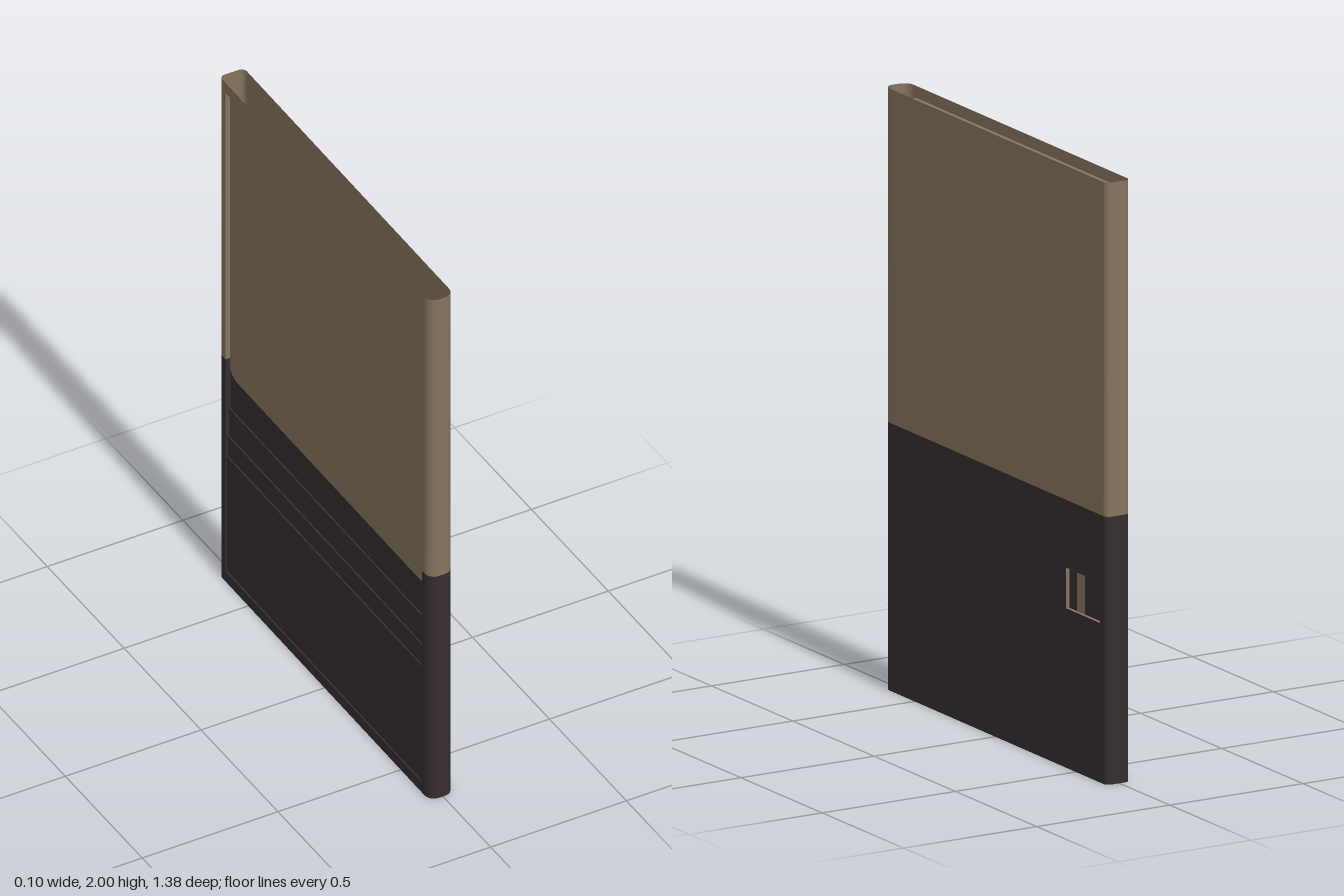
import * as THREE from 'three';

const side = THREE.DoubleSide; // thin open shell
const tan = new THREE.MeshStandardMaterial({ name: 'tan', color: 0x86755f, side });
const dark = new THREE.MeshStandardMaterial({ name: 'darkBrown', color: 0x362d2f, side });

const H = 2, SPLIT = 0.89, X = 0.045, Z = 0.69, FLOOR = -0.027;

export function createModel() {
  const group = new THREE.Group();
  const add = (name, geometry, material) => {
    const m = new THREE.Mesh(geometry, material);
    m.name = name;
    group.add(m);
    return m;
  };

  // Surface between two matching rows of points
  const loft = (a, b, smooth) => {
    const n = a.length, index = [];
    for (let i = 0; i < n - 1; i++) index.push(i, i + 1, n + i + 1, i, n + i + 1, n + i);
    let g = new THREE.BufferGeometry();
    g.setAttribute('position', new THREE.Float32BufferAttribute([...a, ...b].flat(), 3));
    g.setIndex(index);
    if (!smooth) g = g.toNonIndexed();
    g.computeVertexNormals();
    return g;
  };
  const poly = (pts) => new THREE.Shape(pts.map(([u, v]) => new THREE.Vector2(u, v)));
  const rect = (u0, v0, u1, v1) => poly([[u0, v0], [u1, v0], [u1, v1], [u0, v1]]);
  // Flat panels facing +x (u = -z) and -x (u = z)
  const rightPanel = (shape, x) => new THREE.ShapeGeometry(shape).rotateY(Math.PI / 2).translate(x, 0, 0);
  const leftPanel = (shape, x) => new THREE.ShapeGeometry(shape).rotateY(-Math.PI / 2).translate(x, 0, 0);
  const arc = (cx, cz, r, from) => Array.from({ length: 9 }, (_, i) => {
    const t = from - (i / 8) * Math.PI / 2;
    return [cx + r * Math.cos(t), cz + r * Math.sin(t)];
  });

  // Rounded ends as [x, z] outlines
  const rf = 0.034, rb = 0.02;
  const front = [[-X, 0.64], ...arc(-X + rf, Z - rf, rf, Math.PI), ...arc(X - rf, Z - rf, rf, Math.PI / 2), [X, 0.64]];
  const back = [[X, -0.65], ...arc(X - rb, -Z + rb, rb, 0), ...arc(-X + rb, -Z + rb, rb, -Math.PI / 2), [-X, -0.65]];
  for (const [name, row] of [['frontEnd', front], ['backEnd', back]]) {
    const at = (y) => row.map(([x, z]) => [x, y, z]);
    add(name + 'Lower', loft(at(0), at(SPLIT), true), dark);
    add(name + 'Upper', loft(at(SPLIT), at(H), true), tan);
  }

  // Bottom, in two colours, with the top left open
  const base = (pts) => new THREE.ShapeGeometry(poly(pts)).rotateX(Math.PI / 2);
  add('bottomFront', base([...front, [X, -0.045], [-X, -0.045]]), dark);
  add('bottomBack', base([...back, [-X, -0.045], [X, -0.045]]), tan);

  // Right face with a small window
  const w = { u0: 0.44, u1: 0.65, v0: 0.53, v1: 0.665, x: 0.033 };
  const lower = rect(-0.64, 0, 0.65, SPLIT);
  lower.holes.push(rect(w.u0, w.v0, w.u1, w.v1));
  add('rightFaceLower', rightPanel(lower, X), dark);
  add('rightFaceUpper', rightPanel(rect(-0.64, SPLIT, 0.65, H), X), tan);
  const ring = (x) => [[w.u0, w.v0], [w.u0, w.v1], [w.u1, w.v1], [w.u1, w.v0], [w.u0, w.v0]].map(([u, v]) => [x, v, -u]);
  add('windowWalls', loft(ring(X), ring(w.x)), tan);
  add('windowFloor', rightPanel(rect(w.u0, w.v0, w.u1, w.v1), w.x), dark);
  add('windowStripe', rightPanel(rect(0.49, w.v0, 0.54, w.v1), w.x + 0.001), tan);

  // Left face: rim strips above and below the recess
  const z0 = -0.65, z1 = 0.64, y0 = 0.04, y1 = 1.96;
  add('rimTop', leftPanel(rect(z0, y1, z1, H), -X), tan);
  add('rimBottom', leftPanel(rect(z0, 0, z1, y0), -X), dark);

  // Recess walls
  const wallPath = (pts) => loft(...[-X, FLOOR].map((x) => pts.map(([z, y]) => [x, y, z])));
  add('recessWallUpper', wallPath([[z0, SPLIT], [z0, y1], [z1, y1], [z1, SPLIT]]), tan);
  add('recessWallLower', wallPath([[z1, SPLIT], [z1, y0], [z0, y0], [z0, SPLIT]]), dark);

  // Recess floor: tan panel with rounded lower corners over a dark backing
  add('recessBacking', leftPanel(rect(z0, y0, z1, SPLIT), FLOOR), dark);
  const r = 0.05, v = 0.82, panel = new THREE.Shape();
  panel.moveTo(z0, y1).lineTo(z0, v + r).quadraticCurveTo(z0, v, z0 + r, v);
  panel.lineTo(z1 - r, v).quadraticCurveTo(z1, v, z1, v + r).lineTo(z1, y1);
  add('recessPanel', leftPanel(panel, FLOOR - 0.001), tan);

  // Stepped pockets, each with a narrow raised lip
  [0.69, 0.58, 0.5].forEach((top, i) => {
    const t = 0.004 * (i + 1), len = z1 - z0, mid = (z0 + z1) / 2;
    add('pocket', new THREE.BoxGeometry(t, top - y0, len), dark).position.set(FLOOR - t / 2, (top + y0) / 2, mid);
    add('pocketLip', new THREE.BoxGeometry(0.003, 0.02, len), dark).position.set(FLOOR - t - 0.0005, top - 0.01, mid);
  });

  group.rotation.y = -0.005;
  return group;
}
